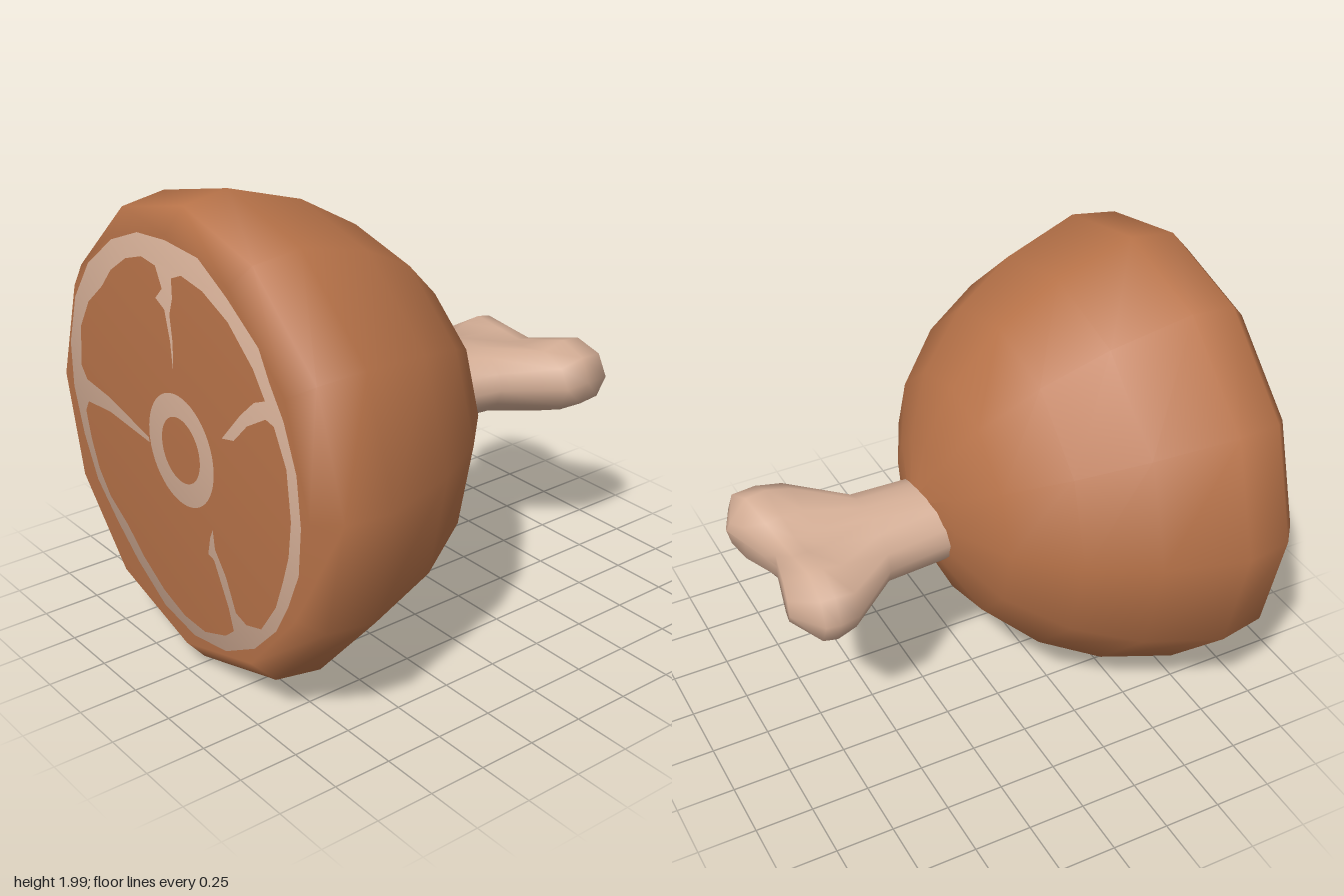
import * as THREE from 'three';

const meat = new THREE.MeshStandardMaterial({ color: 0xb87349 });
meat.name = 'roastedMeat';
const cream = new THREE.MeshStandardMaterial({ color: 0xd3ad95 });
cream.name = 'boneAndFat';

function addMesh(group, name, geometry, material) {
  const mesh = new THREE.Mesh(geometry, material);
  mesh.name = name;
  group.add(mesh);
}

const toPoints = (a) => {
  const out = [];
  for (let i = 0; i < a.length; i += 2) out.push(new THREE.Vector2(a[i], a[i + 1]));
  return out;
};

// Twelve-sided dome with a bevelled flat front; both halves lean a little towards the top
function meatGeometry() {
  const profile = toPoints([0, -0.29, 0.27, -0.215, 0.52, -0.095, 0.735, 0.12, 0.89, 0.385,
    0.995, 0.72, 0.965, 0.92, 0.87, 1, 0, 1]);
  const g = new THREE.LatheGeometry(profile, 12).rotateX(Math.PI / 2);
  const { position, normal } = g.attributes;
  const axis = new THREE.Vector3(0, 0, 1);
  const v = new THREE.Vector3();
  for (let i = 0; i < position.count; i++) {
    const x = position.getX(i);
    const turn = Math.abs(x) < 1e-4 ? 0 : 0.042 * Math.sign(x);
    for (const attr of [position, normal]) {
      v.fromBufferAttribute(attr, i).applyAxisAngle(axis, turn);
      attr.setXYZ(i, v.x, v.y, v.z);
    }
  }
  return g.translate(0, 1, 0);
}

// Thin fat inlay whose normals follow the soft shading of the cut face
function inlay(shape) {
  const g = new THREE.ShapeGeometry(shape, 24);
  const { position, normal } = g.attributes;
  const n = new THREE.Vector3();
  for (let i = 0; i < position.count; i++) {
    n.set(position.getX(i) * 0.42, (position.getY(i) - 1) * 0.42, 1).normalize();
    normal.setXYZ(i, n.x, n.y, n.z);
  }
  return g.translate(0, 0, 1.003);
}

function fatRimShape() {
  const shape = new THREE.Shape(toPoints([
    0, 1.85, 0.22, 1.84, 0.4, 1.74, 0.59, 1.61, 0.65, 1.5, 0.73, 1.38, 0.8, 1.2, 0.82, 1,
    0.8, 0.8, 0.73, 0.64, 0.65, 0.5, 0.5, 0.35, 0.3, 0.24, 0.07, 0.2, -0.15, 0.24,
    -0.35, 0.36, -0.5, 0.48, -0.65, 0.62, -0.74, 0.8, -0.8, 1, -0.8, 1.2, -0.73, 1.42,
    -0.6, 1.6, -0.4, 1.75, -0.2, 1.83]));
  // Inner edge, with four veins reaching inwards
  shape.holes.push(new THREE.Path(toPoints([
    -0.08, 1.73, -0.04, 1.65, -0.09, 1.6, -0.03, 1.57, 0, 1.45, 0.01, 1.33, 0.018, 1.45,
    0.005, 1.56, 0.03, 1.63, 0.03, 1.71, 0.1, 1.74, 0.24, 1.72, 0.4, 1.65, 0.55, 1.52,
    0.62, 1.42, 0.55, 1.39, 0.46, 1.31, 0.33, 1.17, 0.41, 1.19, 0.5, 1.28, 0.62, 1.35,
    0.67, 1.34, 0.74, 1.2, 0.76, 1, 0.74, 0.85, 0.7, 0.73, 0.65, 0.6, 0.55, 0.46,
    0.45, 0.43, 0.38, 0.45, 0.32, 0.58, 0.25, 0.67, 0.24, 0.75, 0.22, 0.71, 0.2, 0.63,
    0.24, 0.62, 0.33, 0.45, 0.36, 0.36, 0.3, 0.31, 0.15, 0.255, 0, 0.26, -0.15, 0.31,
    -0.3, 0.4, -0.42, 0.5, -0.55, 0.58, -0.63, 0.68, -0.68, 0.8, -0.71, 0.92, -0.68, 0.97,
    -0.5, 0.985, -0.2, 0.96, -0.2, 0.98, -0.35, 1.015, -0.5, 1.05, -0.68, 1.07,
    -0.72, 1.12, -0.7, 1.3, -0.62, 1.43, -0.5, 1.53, -0.42, 1.62, -0.3, 1.7, -0.18, 1.74])));
  return shape;
}

function marrowRingShape() {
  const shape = new THREE.Shape().absarc(0.035, 1.01, 0.23, 0, Math.PI * 2);
  shape.holes.push(new THREE.Path().absarc(0.035, 1.01, 0.135, 0, Math.PI * 2, true));
  return shape;
}

// Bone lofted along -z, from a round shaft to a two-knobbed end
function boneGeometry() {
  const round = [[1, 0], [0.9, 0.43], [0.62, 0.78], [0.3, 0.95], [0, 1]];
  const knobbed = [[1, 0], [0.9, 0.65], [0.63, 1], [0.28, 0.82], [0, 0.68]];
  // z, left x, right x, centre y, half height, knob blend, notch depth, z skew
  const rings = [
    [-0.15, -0.23, 0.17, 0.925, 0.17, 0, 0, 0],
    [-0.5, -0.26, 0.22, 0.915, 0.16, 0, 0, 0],
    [-0.71, -0.42, 0.41, 0.905, 0.15, 0.7, 0, 0],
    [-0.8, -0.42, 0.415, 0.9, 0.165, 1, 0.01, 0.02],
    [-0.86, -0.41, 0.41, 0.9, 0.155, 1, 0.035, 0.045],
    [-0.89, -0.28, 0.28, 0.9, 0.08, 1, 0.085, 0.025],
    [-0.89, -0.27, 0.27, 0.9, 0, 1, 0.085, 0.025]];
  const sides = 16;
  const positions = [], index = [];
  rings.forEach(([z, x0, x1, yc, h, blend, notch, skew], i) => {
    for (let j = 0; j < sides; j++) {
      // Mirror the quarter section into all four quadrants
      const k = j % 8 <= 4 ? j % 8 : 8 - (j % 8);
      const q = j < 8 ? k : (j % 8 <= 4 ? j % 8 : 8 - (j % 8));
      const su = j > 4 && j < 12 ? -1 : 1;
      const sv = j > 8 ? -1 : 1;
      const u = su * THREE.MathUtils.lerp(round[q][0], knobbed[q][0], blend);
      const v = sv * THREE.MathUtils.lerp(round[q][1], knobbed[q][1], blend);
      positions.push((x0 + x1) / 2 + u * (x1 - x0) / 2, yc + v * h + 0.03 * u * blend,
        z - notch * Math.abs(u) - skew * u);
      if (i < rings.length - 1) {
        const a = i * sides + j, b = i * sides + (j + 1) % sides;
        index.push(a, a + sides, b, b, a + sides, b + sides);
      }
    }
  });
  const g = new THREE.BufferGeometry();
  g.setAttribute('position', new THREE.Float32BufferAttribute(positions, 3));
  g.setIndex(index);
  g.computeVertexNormals();
  return g;
}

export function createModel() {
  const ham = new THREE.Group();
  ham.name = 'hamOnBone';
  addMesh(ham, 'meat', meatGeometry(), meat);
  addMesh(ham, 'fatRim', inlay(fatRimShape()), cream);
  addMesh(ham, 'marrowRing', inlay(marrowRingShape()), cream);
  addMesh(ham, 'bone', boneGeometry(), cream);
  return ham;
}
